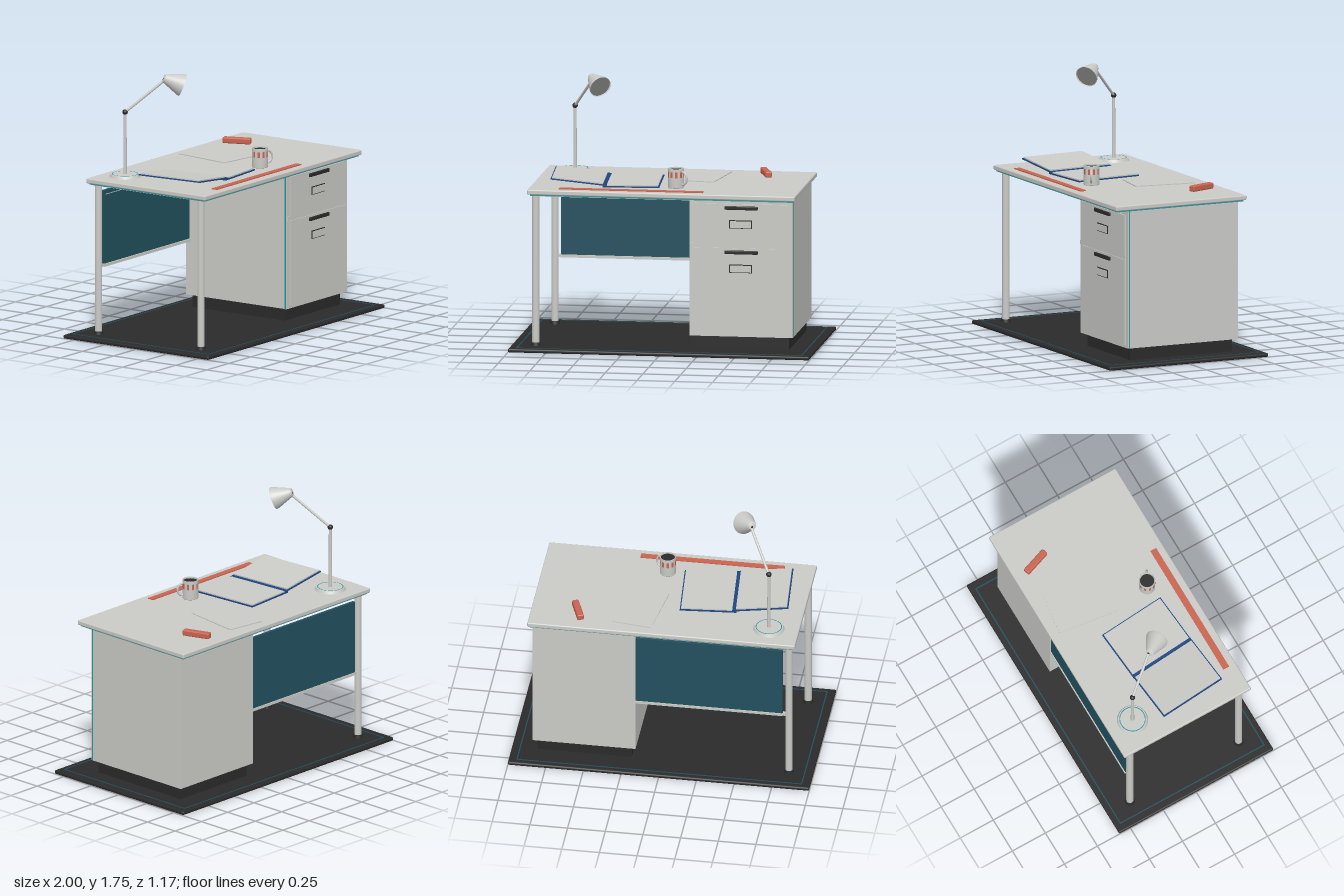
import * as THREE from 'three';
import { RoundedBoxGeometry } from 'three/addons/geometries/RoundedBoxGeometry.js';

const paint = (name, color, side = THREE.FrontSide) => {
  const m = new THREE.MeshStandardMaterial({ color, side });
  m.name = name;
  return m;
};

export function createModel() {
  const light = paint('light grey', 0xcacac7);
  const lightOpen = paint('light grey shell', 0xcacac7, THREE.DoubleSide);
  const dark = paint('charcoal', 0x2a2a2a);
  const panelTeal = paint('deep teal', 0x22505e);
  const trimTeal = paint('bright teal', 0x2a979e);
  const orange = paint('burnt orange', 0xc9634f);
  const blue = paint('binder blue', 0x1f4680);
  const grey = paint('lamp interior grey', 0x8a8a88);

  const model = new THREE.Group();
  model.name = 'deskSet';

  const add = (name, geo, mat, x = 0, y = 0, z = 0, parent = model) => {
    const mesh = new THREE.Mesh(geo, mat);
    mesh.name = name;
    mesh.position.set(x, y, z);
    parent.add(mesh);
    return mesh;
  };
  // box given by its limits on each axis
  const box = (name, mat, [x0, x1], [y0, y1], [z0, z1], parent = model, round = 0) => {
    const s = [x1 - x0, y1 - y0, z1 - z0];
    const geo = round ? new RoundedBoxGeometry(...s, 2, round) : new THREE.BoxGeometry(...s);
    return add(name, geo, mat, (x0 + x1) / 2, (y0 + y1) / 2, (z0 + z1) / 2, parent);
  };
  const cyl = (r0, r1, h, n = 24, open = false) => new THREE.CylinderGeometry(r0, r1, h, n, 1, open);
  const group = (name, x, y, z, parent = model) => {
    const g = new THREE.Group();
    g.name = name;
    g.position.set(x, y, z);
    parent.add(g);
    return g;
  };

  // floor mat with a thin inlaid border
  box('floorMat', dark, [-1, 1], [0, 0.025], [-0.585, 0.585], model, 0.01);
  for (const s of [-1, 1]) {
    box('matBorderLong', panelTeal, [-0.948, 0.948], [0.024, 0.027], [s * 0.545 - 0.004, s * 0.545 + 0.004]);
    box('matBorderShort', panelTeal, [s * 0.945 - 0.004, s * 0.945 + 0.004], [0.024, 0.027], [-0.541, 0.541]);
  }

  // desk top and the teal band beneath it
  box('deskTop', light, [-0.888, 0.888], [1.035, 1.068], [-0.48, 0.48], model, 0.008);
  box('topUnderBand', trimTeal, [-0.872, 0.872], [1.026, 1.036], [-0.464, 0.464]);
  box('deskUnderside', light, [-0.862, 0.862], [1.022, 1.027], [-0.454, 0.454]);

  // two round legs on the open side
  for (const z of [-0.412, 0.412]) {
    add('leg', cyl(0.024, 0.024, 1.0), light, -0.84, 0.53, z);
    add('legFoot', cyl(0.03, 0.034, 0.02), dark, -0.84, 0.035, z);
  }

  // drawer pedestal
  box('plinth', dark, [0.205, 0.83], [0.025, 0.112], [-0.4, 0.345]);
  box('pedestalBody', light, [0.176, 0.86], [0.11, 1.025], [-0.43, 0.365]);
  box('pedestalTrim', trimTeal, [0.174, 0.862], [0.109, 1.025], [0.365, 0.372]);
  box('pedestalFace', light, [0.176, 0.86], [0.11, 1.025], [0.372, 0.38]);
  for (const [y0, y1] of [[0.728, 0.995], [0.13, 0.7]]) {
    box('drawerFront', light, [0.205, 0.83], [y0, y1], [0.375, 0.39]);
    box('drawerHandle', dark, [0.41, 0.63], [y1 - 0.038, y1 - 0.014], [0.388, 0.404], model, 0.005);
    box('labelFrame', dark, [0.44, 0.592], [y1 - 0.163, y1 - 0.108], [0.388, 0.393]);
    box('labelCard', light, [0.446, 0.586], [y1 - 0.159, y1 - 0.114], [0.389, 0.395]);
  }
  box('drawerRail', light, [0.18, 0.83], [0.7, 0.728], [0.375, 0.385]);

  // modesty panel with its rails
  box('modestyPanel', panelTeal, [-0.8, 0.18], [0.487, 0.98], [-0.422, -0.402]);
  box('panelBottomRail', light, [-0.8, 0.18], [0.47, 0.488], [-0.428, -0.392]);
  box('panelPinstripe', light, [-0.775, 0.165], [0.95, 0.954], [-0.403, -0.4]);
  box('panelBracket', light, [-0.825, -0.795], [0.47, 0.49], [-0.422, -0.402]);

  // desk lamp
  const lamp = group('lamp', -0.69, 1.068, -0.305);
  add('lampBase', cyl(0.094, 0.103, 0.018, 40), light, 0, 0.009, 0, lamp);
  const ring = add('lampBaseRing', new THREE.RingGeometry(0.081, 0.087, 40), trimTeal, 0, 0.019, 0, lamp);
  ring.rotation.x = -Math.PI / 2;
  add('lampPole', cyl(0.01, 0.012, 0.43, 16), light, 0, 0.217, 0, lamp);
  const elbow = new THREE.Vector3(0, 0.432, 0);
  const wrist = new THREE.Vector3(0.152, 0.65, 0.215);
  add('lampElbow', new THREE.SphereGeometry(0.018, 16, 12), dark, ...elbow, lamp);
  add('lampArm', new THREE.TubeGeometry(new THREE.LineCurve3(elbow, wrist), 1, 0.009, 12), light, 0, 0, 0, lamp);
  add('lampWrist', new THREE.SphereGeometry(0.017, 16, 12), dark, ...wrist, lamp);

  // lamp shade, opening along its own +y
  const head = group('lampHead', 0.14, 0.662, 0.21, lamp);
  const axis = new THREE.Vector3(0.56, -0.367, 0.739).normalize();
  head.quaternion.setFromUnitVectors(new THREE.Vector3(0, 1, 0), axis);
  const shade = [[0, 0], [0.024, 0], [0.03, 0.01], [0.072, 0.118], [0.075, 0.135]].map(p => new THREE.Vector2(...p));
  add('lampShade', new THREE.LatheGeometry(shade, 32), lightOpen, 0, 0, 0, head);
  const inner = add('lampShadeInside', new THREE.CircleGeometry(0.071, 32), grey, 0, 0.126, 0, head);
  inner.rotation.x = -Math.PI / 2;

  // mug with coffee, handle and painted marks
  const mug = group('mug', 0.065, 1.068, 0.243);
  const wall = [[0, 0], [0.05, 0], [0.053, 0.004], [0.053, 0.127], [0.05, 0.13], [0.047, 0.127], [0.047, 0.1]];
  add('mugWall', new THREE.LatheGeometry(wall.map(p => new THREE.Vector2(...p)), 32), lightOpen, 0, 0, 0, mug);
  add('coffee', cyl(0.047, 0.047, 0.01), dark, 0, 0.114, 0, mug);
  const handle = add('mugHandle', new THREE.TorusGeometry(0.036, 0.007, 10, 24, Math.PI), light, 0.046, 0.066, 0.025, mug);
  handle.rotation.set(0, -0.5, -Math.PI / 2, 'YXZ');
  handle.scale.set(1.15, 1, 1);
  for (let i = 0; i < 10; i++) {
    const mark = new THREE.CylinderGeometry(0.0537, 0.0537, 0.038, 4, 1, true, (i * Math.PI) / 5, 0.3);
    add('mugMark', mark, orange, 0, 0.09, 0, mug);
  }

  // open binder: one half flat, the other slightly raised
  const binder = group('openBinder', -0.4175, 1.068, 0.078);
  binder.rotation.y = 0.08;
  box('binderSpine', blue, [-0.014, 0.014], [0, 0.016], [-0.232, 0.232], binder);
  for (const s of [-1, 1]) {
    const half = group(s < 0 ? 'binderLeft' : 'binderRight', 0, s < 0 ? 0.01 : 0, 0, binder);
    if (s < 0) half.rotation.z = -0.105;
    const span = (a, b) => (s < 0 ? [-b, -a] : [a, b]);
    box('binderCover', blue, span(0, 0.358), [0, 0.008], [-0.232, 0.232], half);
    box('binderPages', light, span(0.013, 0.35), [0.007, 0.016], [-0.224, 0.224], half);
  }

  // loose sheets, ruler and eraser
  [[0.002, -0.15], [0.005, -0.135]].forEach(([y, turn]) => {
    const sheet = add('paperSheet', new THREE.BoxGeometry(0.265, 0.003, 0.41), light, 0.178, 1.068 + y, -0.195);
    sheet.rotation.y = turn;
  });
  box('ruler', orange, [-0.685, 0.27], [1.067, 1.074], [0.387, 0.43]);
  const eraser = add('eraser', new RoundedBoxGeometry(0.045, 0.04, 0.19, 3, 0.009), orange, 0.577, 1.088, -0.305);
  eraser.rotation.y = 0.34;

  return model;
}
